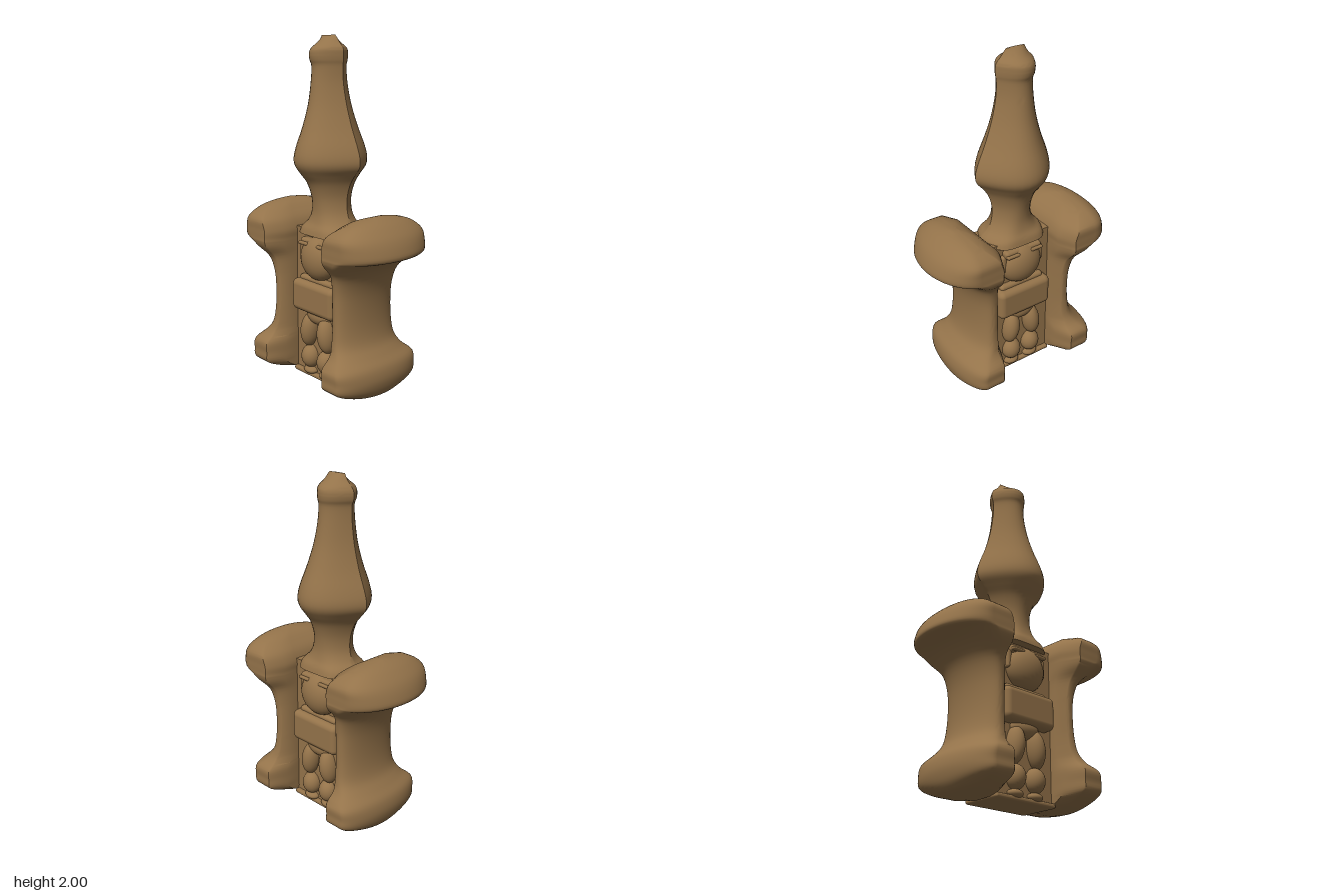
import * as THREE from 'three';
import { toCreasedNormals } from 'three/addons/utils/BufferGeometryUtils.js';
import { RoundedBoxGeometry } from 'three/addons/geometries/RoundedBoxGeometry.js';

// Smoothly subdivide rows of profile values, column by column
function refine(rows, steps) {
  const out = [];
  const at = i => rows[Math.min(Math.max(i, 0), rows.length - 1)];
  for (let i = 0; i < rows.length - 1; i++) {
    for (let s = 0; s < steps; s++) {
      const t = s / steps;
      out.push(rows[i].map((b, k) => {
        const a = at(i - 1)[k], c = at(i + 1)[k], d = at(i + 2)[k];
        return b + 0.5 * t * (c - a + t * (2 * a - 5 * b + 4 * c - d + t * (3 * (b - c) + d - a)));
      }));
    }
  }
  out.push(rows[rows.length - 1]);
  return out;
}

// Closed solid from horizontal rings of [x, z] points, counterclockwise from above
function loft(rings, heights, crease) {
  const n = rings[0].length, pos = [], idx = [];
  rings.forEach((ring, i) => ring.forEach(([x, z]) => pos.push(x, heights[i], z)));
  for (let i = 0; i < rings.length - 1; i++) {
    for (let j = 0; j < n; j++) {
      const a = i * n + j, b = i * n + (j + 1) % n;
      idx.push(a, b, b + n, a, b + n, a + n);
    }
  }
  [0, rings.length - 1].forEach((r, top) => {
    const c = pos.length / 3;
    let mx = 0;
    rings[r].forEach(p => { mx += p[0] / n; });
    pos.push(mx, heights[r], 0);
    for (let j = 0; j < n; j++) {
      const a = r * n + j, b = r * n + (j + 1) % n;
      if (top) idx.push(a, b, c); else idx.push(b, a, c);
    }
  });
  const g = new THREE.BufferGeometry();
  g.setAttribute('position', new THREE.Float32BufferAttribute(pos, 3));
  g.setIndex(idx);
  return toCreasedNormals(g, crease);
}

// Mirror the front half of an outline to the back
const closeOutline = half => [...half, ...half.slice(1, -1).reverse().map(([x, z]) => [x, -z])];

// Side pier: flat inner face, chamfer, front face and elliptical outer face
function pierGeometry() {
  // height, inner x, outer x, front corner x, half depth
  const rows = refine([
    [0.004, 0.23, 0.33, 0.29, 0.03], [0.02, 0.205, 0.41, 0.33, 0.14], [0.045, 0.2, 0.44, 0.35, 0.22],
    [0.085, 0.2, 0.457, 0.36, 0.295], [0.14, 0.2, 0.463, 0.365, 0.3], [0.2, 0.2, 0.447, 0.355, 0.3],
    [0.25, 0.2, 0.405, 0.31, 0.25], [0.31, 0.2, 0.362, 0.275, 0.222], [0.4, 0.2, 0.34, 0.265, 0.21],
    [0.52, 0.2, 0.335, 0.26, 0.208], [0.63, 0.2, 0.347, 0.265, 0.212], [0.72, 0.2, 0.38, 0.285, 0.232],
    [0.785, 0.2, 0.44, 0.32, 0.285], [0.82, 0.2, 0.515, 0.35, 0.3], [0.842, 0.2, 0.573, 0.385, 0.3],
    [0.89, 0.2, 0.568, 0.395, 0.3], [0.95, 0.225, 0.537, 0.39, 0.295], [1.0, 0.275, 0.485, 0.385, 0.23],
    [1.027, 0.315, 0.44, 0.38, 0.14], [1.042, 0.36, 0.395, 0.378, 0.02],
  ], 4);
  const rings = rows.map(([, xi, xo, xf, zh]) => {
    const xc = xi + Math.min(0.045, (xf - xi) * 0.5);
    const half = [[xi, 0], [xi, zh * 0.35], [xi, zh * 0.66], [xc, zh * 0.975], [xc + 0.008, zh]];
    for (let k = 0; k <= 14; k++) {
      const a = (k / 14) * Math.PI / 2;
      half.push([xf + (xo - xf) * Math.sin(a), k === 14 ? 0 : zh * Math.cos(a)]);
    }
    return closeOutline(half);
  });
  return loft(rings, rows.map(r => r[0]), 0.7);
}

// Spire: lens-shaped section with a ridge down each side
function spireGeometry() {
  // height, right x, left x, half depth, roundness
  const rows = refine([
    [0.885, -0.205, 0.205, 0.155, 5], [0.92, -0.195, 0.195, 0.145, 4.5], [0.96, -0.16, 0.158, 0.125, 3.2],
    [1.02, -0.137, 0.13, 0.114, 2.5], [1.1, -0.14, 0.125, 0.12, 2.2], [1.18, -0.17, 0.148, 0.145, 2.2],
    [1.235, -0.215, 0.185, 0.185, 2.1], [1.28, -0.252, 0.222, 0.215, 2.1], [1.325, -0.26, 0.23, 0.222, 2.1],
    [1.39, -0.243, 0.212, 0.207, 2.1], [1.5, -0.2, 0.163, 0.166, 2.1], [1.62, -0.166, 0.12, 0.13, 2.1],
    [1.74, -0.147, 0.092, 0.11, 2.1], [1.83, -0.143, 0.087, 0.104, 2.1], [1.865, -0.155, 0.092, 0.113, 2.1],
    [1.9, -0.158, 0.093, 0.116, 2.1], [1.93, -0.145, 0.088, 0.106, 2.1], [1.96, -0.115, 0.06, 0.062, 2.1],
    [1.985, -0.098, 0.04, 0.028, 2.1], [2, -0.09, 0.025, 0.006, 2.1],
  ], 4);
  const rings = rows.map(([, x0, x1, zh, p]) => {
    const half = [];
    for (let k = 0; k <= 20; k++) {
      const u = -Math.cos(k / 20 * Math.PI);
      half.push([(x0 + x1) / 2 + u * (x1 - x0) / 2, zh * (1 - Math.abs(u) ** p)]);
    }
    return closeOutline(half);
  });
  return loft(rings, rows.map(r => r[0]), 0.75);
}

export function createModel() {
  const model = new THREE.Group();
  model.name = 'carvedTower';
  const bronze = new THREE.MeshStandardMaterial({ color: 0x94734a });
  bronze.name = 'bronze';

  const add = (parent, name, geometry, x = 0, y = 0, z = 0) => {
    const mesh = new THREE.Mesh(geometry, bronze);
    mesh.name = name;
    mesh.position.set(x, y, z);
    parent.add(mesh);
    return mesh;
  };
  const blob = (rx, ry, rz) => new THREE.SphereGeometry(1, 28, 20).scale(rx, ry, rz);

  // Spire and the recessed centre wall
  add(model, 'spire', spireGeometry());
  add(model, 'centreWall', new THREE.BoxGeometry(0.43, 0.88, 0.2), 0, 0.465, 0);
  add(model, 'foot', new RoundedBoxGeometry(0.42, 0.028, 0.25, 3, 0.012), 0, 0.019, 0);

  // Flared piers on both sides
  const pier = pierGeometry();
  add(model, 'leftPier', pier);
  add(model, 'rightPier', pier).rotation.y = Math.PI;

  // Carved figure, repeated on front and back
  for (const [name, turn] of [['frontFigure', 0], ['backFigure', Math.PI]]) {
    const figure = new THREE.Group();
    figure.name = name;
    figure.rotation.y = turn;
    model.add(figure);
    add(figure, 'head', blob(0.135, 0.128, 0.085), 0, 0.745, 0.1);
    add(figure, 'forehead', new RoundedBoxGeometry(0.25, 0.05, 0.11, 3, 0.02), 0, 0.835, 0.09);
    add(figure, 'torso', new RoundedBoxGeometry(0.36, 0.19, 0.14, 4, 0.035), 0, 0.51, 0.1);
    add(figure, 'collar', new RoundedBoxGeometry(0.3, 0.06, 0.08, 3, 0.02), 0, 0.6, 0.09);
    add(figure, 'hips', blob(0.1, 0.055, 0.05), 0, 0.4, 0.1);
    for (const s of [-1, 1]) {
      add(figure, 'ear', new RoundedBoxGeometry(0.035, 0.11, 0.06, 3, 0.015), s * 0.125, 0.775, 0.1);
      add(figure, 'brow', new RoundedBoxGeometry(0.085, 0.02, 0.04, 3, 0.009), s * 0.08, 0.83, 0.14);
      add(figure, 'thigh', blob(0.055, 0.108, 0.065), s * 0.074, 0.3, 0.105).rotation.z = s * 0.12;
      add(figure, 'shin', blob(0.06, 0.07, 0.06), s * 0.07, 0.132, 0.105);
      add(figure, 'toe', blob(0.05, 0.025, 0.04), s * 0.07, 0.045, 0.105);
    }
  }
  return model;
}
